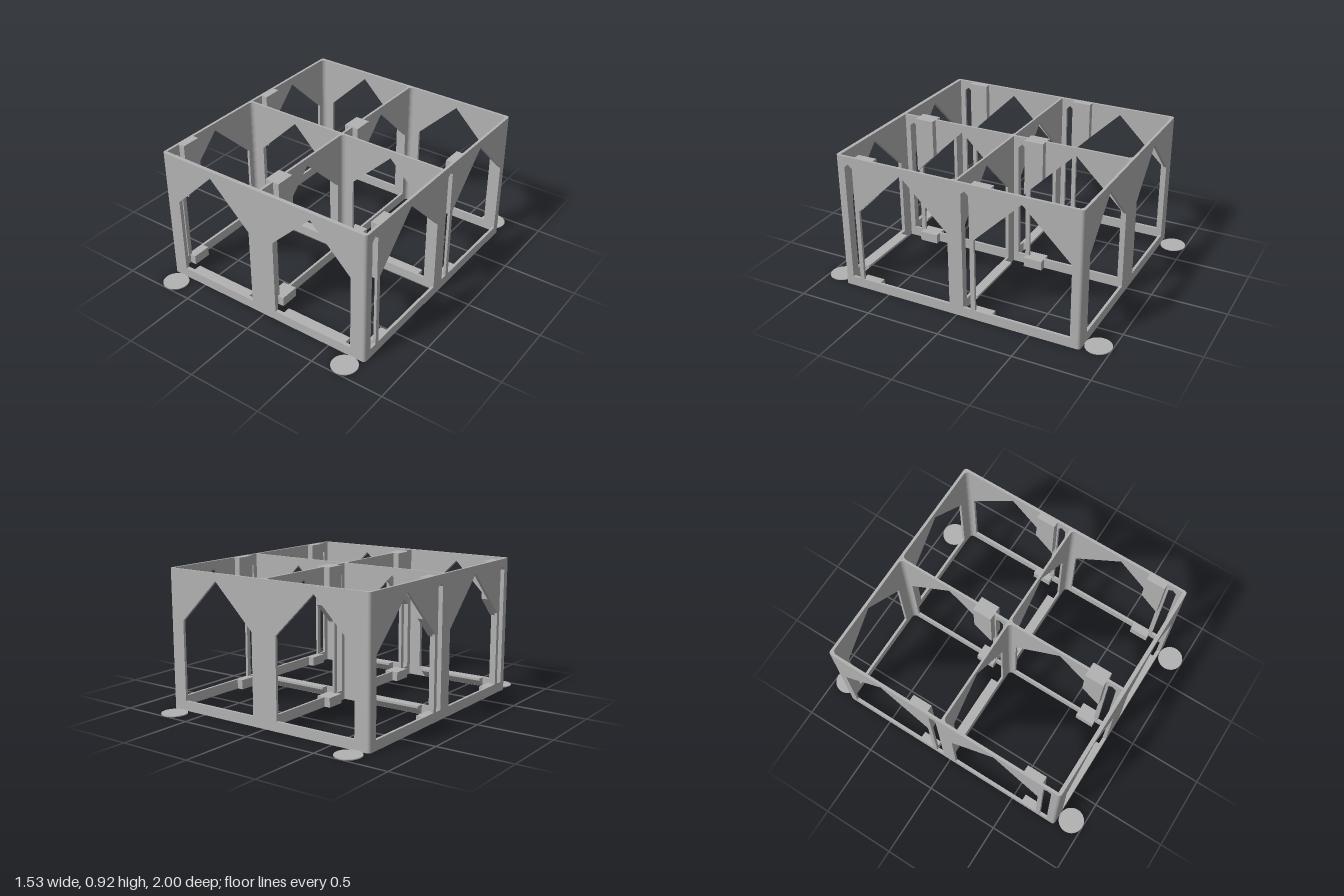
import * as THREE from 'three';

const H = 0.92;

export function createModel() {
  const model = new THREE.Group();
  model.name = 'fourCellFrame';
  const grey = new THREE.MeshStandardMaterial({ color: 0xb2b2b2 });
  grey.name = 'grey plastic';

  const add = (name, geometry, x = 0, y = 0, z = 0) => {
    const mesh = new THREE.Mesh(geometry, grey);
    mesh.name = name;
    mesh.position.set(x, y, z);
    model.add(mesh);
    return mesh;
  };
  const points = (list) => list.map(([a, b]) => new THREE.Vector2(a, b));
  const extrude = (outline, holes, depth) => {
    const shape = new THREE.Shape(points(outline));
    holes.forEach((h) => shape.holes.push(new THREE.Path(points(h))));
    return new THREE.ExtrudeGeometry(shape, { depth, bevelEnabled: false });
  };
  // Profile in (x, y), running along z
  const alongZ = (name, outline, holes, z0, z1) =>
    add(name, extrude(outline, holes, z1 - z0), 0, 0, z0);
  // Profile in (z, y), running along x
  const alongX = (name, outline, holes, x0, x1) =>
    add(name, extrude(outline, holes, x1 - x0).rotateY(-Math.PI / 2), x1);
  const rect = (a, b) => [[a, 0], [b, 0], [b, H], [a, H]];
  // Opening with a pointed top
  const gable = (a, b, shoulder, peak = 0.87) =>
    [[a, 0.065], [a, shoulder], [(a + b) / 2, peak], [b, shoulder], [b, 0.065]];

  // Cross walls, front to back
  const crossHoles = [gable(-0.66, -0.092, 0.59), gable(0.092, 0.66, 0.59)];
  alongZ('frontWall', rect(-0.745, 0.745), crossHoles, 0.805, 0.83);
  alongZ('middleCrossWall', rect(-0.75, 0.75), crossHoles, -0.015, 0);
  alongZ('backWall', rect(-0.745, 0.745), crossHoles, -0.83, -0.812);

  // Side walls and centre divider, with gabled windows and narrow slots
  const sideHoles = [
    gable(0.05, 0.685, 0.56), gable(-0.765, -0.13, 0.56),
    gable(0.715, 0.77, 0.845), gable(-0.1, -0.048, 0.845),
  ];
  [['rightWall', -0.765, -0.747], ['centreDivider', -0.008, 0.008], ['leftWall', 0.747, 0.765]]
    .forEach(([name, x0, x1]) => alongX(name, rect(-0.81, 0.81), sideHoles, x0, x1));

  // Rounded outer corners
  [[1, 1, 0], [1, -1, 1], [-1, -1, 2], [-1, 1, 3]].forEach(([sx, sz, quarter]) => {
    const corner = new THREE.CylinderGeometry(0.02, 0.02, H, 6, 1, false, quarter * Math.PI / 2, Math.PI / 2);
    add('outerCorner', corner, sx * 0.745, H / 2, sz * 0.81);
  });

  // Concave fillets in the back corners of each cell
  const r = 0.025;
  for (const z of [-0.812, 0]) {
    for (const [x, s] of [[-0.747, 1], [-0.008, -1], [0.008, 1], [0.747, -1]]) {
      const shape = new THREE.Shape();
      shape.moveTo(x, -z);
      shape.lineTo(x + s * r, -z);
      shape.quadraticCurveTo(x + s * r * 0.15, -z - r * 0.15, x, -z - r);
      const fillet = new THREE.ExtrudeGeometry(shape, { depth: H, bevelEnabled: false, curveSegments: 5 });
      add('cornerFillet', fillet.rotateX(-Math.PI / 2));
    }
  }

  // Guide blocks: sloped upper ones and small lower ones
  for (const [z0, z1] of [[0.57, 0.7], [-0.24, -0.11]]) {
    for (const [x0, x1] of [[-0.75, -0.705], [-0.05, 0.05], [0.705, 0.75]]) {
      alongX('upperGuide', [[z0, 0.67], [z1, 0.54], [z1, H], [z0, H]], [], x0, x1);
      add('lowerGuide', new THREE.BoxGeometry(x1 - x0, 0.065, z1 - z0), (x0 + x1) / 2, 0.0325, (z0 + z1) / 2);
    }
  }

  // Ledges with sloped undersides, behind the front and middle walls
  for (const z of [0.806, -0.014]) {
    for (const x of [-0.61, 0.14]) {
      alongX('sillLedge', [[z, 0], [z, 0.065], [z - 0.05, 0.065], [z - 0.05, 0.05]], [], x, x + 0.47);
    }
  }

  // Thin round pads outside the four corners
  for (const x of [-0.68, 0.68]) {
    for (const z of [-0.915, 0.915]) {
      add('cornerPad', new THREE.CylinderGeometry(0.085, 0.085, 0.006, 40), x, 0.003, z);
    }
  }
  return model;
}
